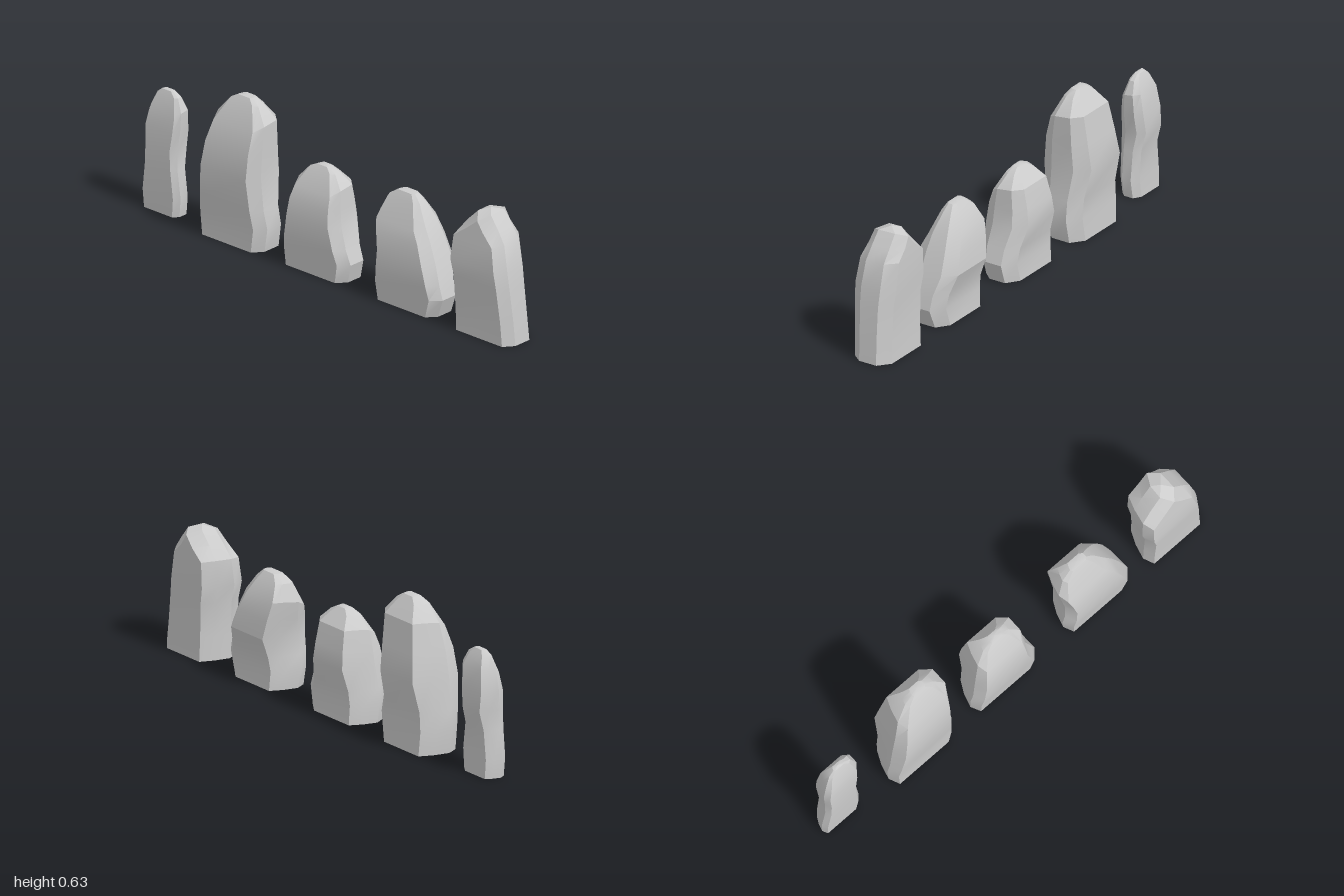
import * as THREE from 'three';
import { toCreasedNormals } from 'three/addons/utils/BufferGeometryUtils.js';

// Bevelled section: u runs across the width, v from back to front
const SECTION = [
  [0.06, 1], [0.89, 1],       // front face
  [1, 0.74], [1, 0.25],       // right side
  [0.83, 0], [0.15, 0],       // back face
  [0.06, 0.34], [0, 0.72],    // left side
];

// Each row: height, left x, right x, back z, front z,
// then optional drop of the front edge, drop of the back edge,
// and how far the front and back faces close towards a gable point
const STONES = {
  slenderStone: [
    [0, -0.995, -0.815, -0.04, 0.043],
    [0.08, -1, -0.805, -0.037, 0.047],
    [0.2, -0.983, -0.82, -0.038, 0.05],
    [0.28, -0.98, -0.825, -0.058, 0.05],
    [0.36, -0.985, -0.812, -0.052, 0.046],
    [0.45, -0.97, -0.81, -0.042, 0.038, 0.02],
    [0.5, -0.945, -0.835, -0.022, 0.018],
    [0.52, -0.92, -0.865, -0.012, 0.01],
  ],
  tallStone: [
    [0, -0.655, -0.342, -0.082, 0.083],
    [0.1, -0.665, -0.325, -0.077, 0.085],
    [0.18, -0.657, -0.338, -0.077, 0.095],
    [0.31, -0.643, -0.352, -0.106, 0.105],
    [0.42, -0.625, -0.35, -0.092, 0.095],
    [0.54, -0.6, -0.35, -0.076, 0.072, 0.03],
    [0.6, -0.545, -0.4, -0.036, 0.032],
    [0.623, -0.505, -0.435, -0.02, 0.018],
  ],
  shortStone: [
    [0, -0.215, 0.1, -0.075, 0.075],
    [0.08, -0.22, 0.12, -0.07, 0.082],
    [0.14, -0.21, 0.1, -0.074, 0.09],
    [0.23, -0.195, 0.07, -0.098, 0.09],
    [0.3, -0.185, 0.062, -0.09, 0.082],
    [0.385, -0.17, 0.055, -0.072, 0.066, 0.03],
    [0.43, -0.125, 0.01, -0.035, 0.028],
    [0.45, -0.085, -0.025, -0.018, 0.015],
  ],
  leaningStone: [
    [0, 0.28, 0.585, -0.075, 0.078],
    [0.08, 0.27, 0.615, -0.07, 0.085],
    [0.14, 0.28, 0.6, -0.078, 0.092],
    [0.22, 0.288, 0.572, -0.105, 0.09],
    [0.3, 0.275, 0.54, -0.095, 0.08],
    [0.375, 0.265, 0.505, -0.078, 0.066, 0.03],
    [0.44, 0.3, 0.46, -0.045, 0.03],
    [0.47, 0.345, 0.43, -0.025, 0.015],
  ],
  pointedStone: [
    [0, 0.705, 1, -0.082, 0.083],
    [0.1, 0.705, 0.992, -0.078, 0.086],
    [0.24, 0.705, 0.978, -0.078, 0.096],
    [0.31, 0.69, 0.968, -0.083, 0.1],
    [0.42, 0.7, 0.945, -0.083, 0.09, 0.01],
    [0.475, 0.745, 0.908, -0.082, 0.084, 0.015, 0.01, 0.4],
    [0.53, 0.797, 0.868, -0.08, 0.08, 0.03, 0.02, 1],
  ],
};

// Loft the section through the rows, open below, and close the top with a fan
function stoneGeometry(rows) {
  const n = SECTION.length;
  const positions = [];
  const index = [];
  for (const [y, left, right, back, front, frontDrop = 0, backDrop = 0, close = 0] of rows) {
    for (const [u, v] of SECTION) {
      const onFace = v === 0 || v === 1;
      const across = onFace ? THREE.MathUtils.lerp(u, 0.5, close) : u;
      const drop = frontDrop * v ** 4 + backDrop * (1 - v) ** 4;
      positions.push(left + (right - left) * across, y - drop, back + (front - back) * v);
    }
  }
  const [y, left, right, back, front] = rows[rows.length - 1];
  positions.push((left + right) / 2, y + 0.005, (back + front) / 2);
  const top = (rows.length - 1) * n;
  const peak = top + n;

  for (let j = 0; j < n; j++) {
    const k = (j + 1) % n;
    for (let i = 0; i < top; i += n) {
      index.push(i + j, i + k, i + n + k, i + j, i + n + k, i + n + j);
    }
    index.push(top + j, top + k, peak);
  }
  const geometry = new THREE.BufferGeometry();
  geometry.setAttribute('position', new THREE.Float32BufferAttribute(positions, 3));
  geometry.setIndex(index);
  return toCreasedNormals(geometry, 0.43);
}

export function createModel() {
  const group = new THREE.Group();
  group.name = 'standingStones';
  const material = new THREE.MeshStandardMaterial({ color: 0xcccccc, side: THREE.DoubleSide });
  for (const [name, rows] of Object.entries(STONES)) {
    const stone = new THREE.Mesh(stoneGeometry(rows), material);
    stone.name = name;
    group.add(stone);
  }
  return group;
}
